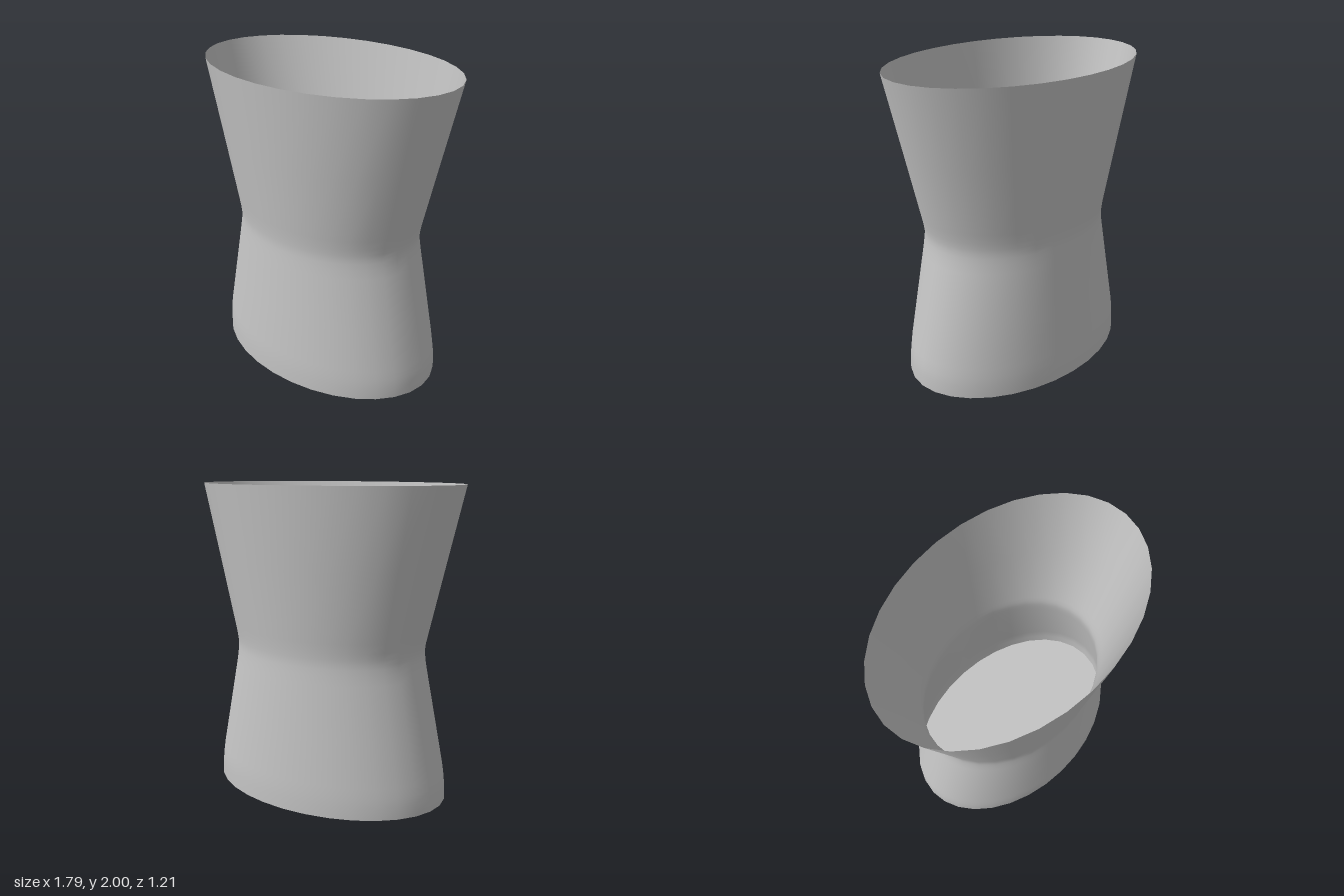
import * as THREE from 'three';

const SEGMENTS = 32;
// height, half width (x), half depth (z) of each ring, bottom to top
const RINGS = [
  [0, 0.822, 0.558], [0.08, 0.821, 0.557], [0.14, 0.814, 0.554], [0.2, 0.804, 0.55],
  [0.5, 0.742, 0.523], [0.82, 0.675, 0.496], [0.88, 0.664, 0.491], [0.92, 0.659, 0.488],
  [0.95, 0.657, 0.487], [0.98, 0.659, 0.488], [1.02, 0.665, 0.491], [1.08, 0.679, 0.497],
  [1.5, 0.777, 0.546], [2, 0.895, 0.605],
];

// Loft the elliptical rings into one smooth, open wall
function makeWall() {
  const positions = [], index = [];
  for (const [y, rx, rz] of RINGS) {
    for (let i = 0; i < SEGMENTS; i++) {
      const a = (i / SEGMENTS) * Math.PI * 2;
      positions.push(Math.sin(a) * rx, y, Math.cos(a) * rz);
    }
  }
  for (let r = 0; r < RINGS.length - 1; r++) {
    for (let i = 0; i < SEGMENTS; i++) {
      const j = (i + 1) % SEGMENTS;
      const a = r * SEGMENTS + i, b = r * SEGMENTS + j;
      index.push(a, b, b + SEGMENTS, a, b + SEGMENTS, a + SEGMENTS);
    }
  }
  const geometry = new THREE.BufferGeometry();
  geometry.setAttribute('position', new THREE.Float32BufferAttribute(positions, 3));
  geometry.setIndex(index);
  geometry.computeVertexNormals();
  return geometry;
}

export function createModel() {
  const group = new THREE.Group();
  group.name = 'waistedVessel';
  const grey = new THREE.MeshStandardMaterial({ color: 0xc4c4c4, side: THREE.DoubleSide });
  grey.name = 'lightGrey';

  const wall = new THREE.Mesh(makeWall(), grey);
  wall.name = 'wall';

  // Flat base closing the bottom of the wall
  const [, rx, rz] = RINGS[0];
  const disc = new THREE.CircleGeometry(1, SEGMENTS).scale(rx, rz, 1).rotateX(Math.PI / 2);
  const base = new THREE.Mesh(disc, grey);
  base.name = 'base';

  group.add(wall, base);
  return group;
}
